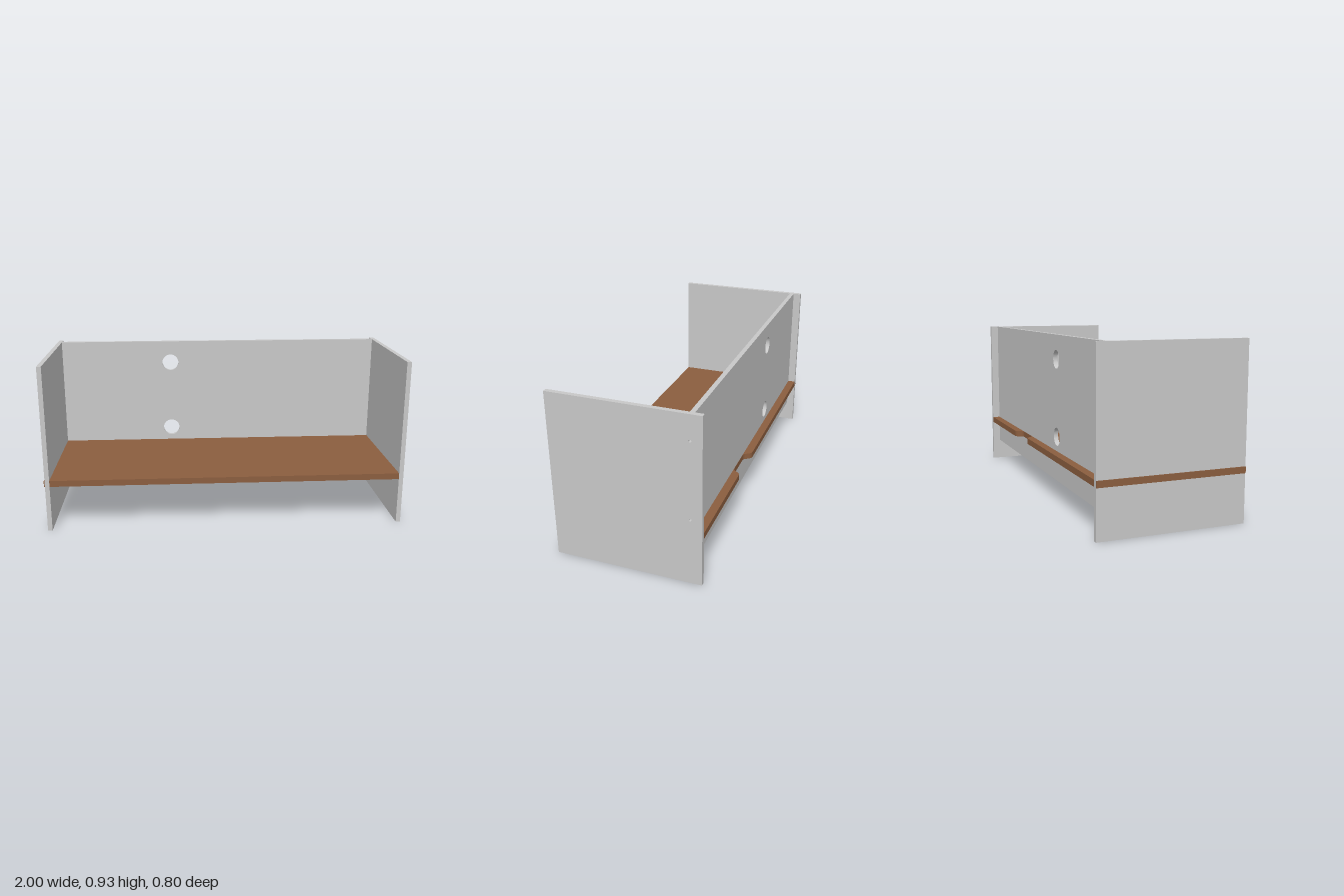
import * as THREE from 'three';

const paint = new THREE.MeshStandardMaterial({ color: 0xc8c8c8 });
paint.name = 'light grey board';
const wood = new THREE.MeshStandardMaterial({ color: 0x8b5e3f });
wood.name = 'brown wood';

const HEIGHT = 0.93, DEPTH = 0.4, BOARD = 0.025;

// Rectangular outline with round holes given as [x, y, radius]
function panelShape(x0, x1, y0, y1, holes = []) {
  const s = new THREE.Shape();
  s.moveTo(x0, y0).lineTo(x1, y0).lineTo(x1, y1).lineTo(x0, y1).closePath();
  for (const [x, y, r] of holes) {
    s.holes.push(new THREE.Path().absarc(x, y, r, 0, Math.PI * 2, true));
  }
  return s;
}

function extrude(shape, depth) {
  return new THREE.ExtrudeGeometry(shape, { depth, bevelEnabled: false, curveSegments: 32 });
}

export function createModel() {
  const group = new THREE.Group();
  group.name = 'deskUnit';
  const add = (name, geometry, material) => {
    const mesh = new THREE.Mesh(geometry, material);
    mesh.name = name;
    group.add(mesh);
  };

  // Side panels; the left one has two small screw holes near the back
  const sides = [
    ['leftPanel', 0.999, [[-0.339, 0.795, 0.007], [-0.339, 0.371, 0.007]]],
    ['rightPanel', -0.97, []],
  ];
  for (const [name, outerX, holes] of sides) {
    const g = extrude(panelShape(-DEPTH, DEPTH, 0, HEIGHT, holes), BOARD);
    g.rotateY(-Math.PI / 2).translate(outerX, 0, 0);
    add(name, g, paint);
  }

  // Back board with two cable holes
  const back = panelShape(-0.972, 0.975, 0.128, HEIGHT,
    [[-0.303, 0.797, 0.05], [-0.303, 0.374, 0.05]]);
  add('backBoard', extrude(back, BOARD).translate(0, 0, -0.355), paint);

  // Shelf running through the back board and right panel, cable notch in its rear edge
  const rear = DEPTH - 0.0005, notch = 0.356;
  const shelf = new THREE.Shape();
  shelf.moveTo(-1, -rear).lineTo(0.974, -rear).lineTo(0.974, rear).lineTo(0.40, rear);
  shelf.quadraticCurveTo(0.382, rear, 0.372, 0.386).lineTo(0.358, 0.366);
  shelf.quadraticCurveTo(0.35, notch, 0.335, notch).lineTo(0.18, notch);
  shelf.quadraticCurveTo(0.165, notch, 0.157, 0.366).lineTo(0.143, 0.386);
  shelf.quadraticCurveTo(0.133, rear, 0.115, rear).lineTo(-1, rear).closePath();
  add('shelf', extrude(shelf, 0.034).rotateX(-Math.PI / 2).translate(0, 0.26, 0), wood);

  return group;
}
